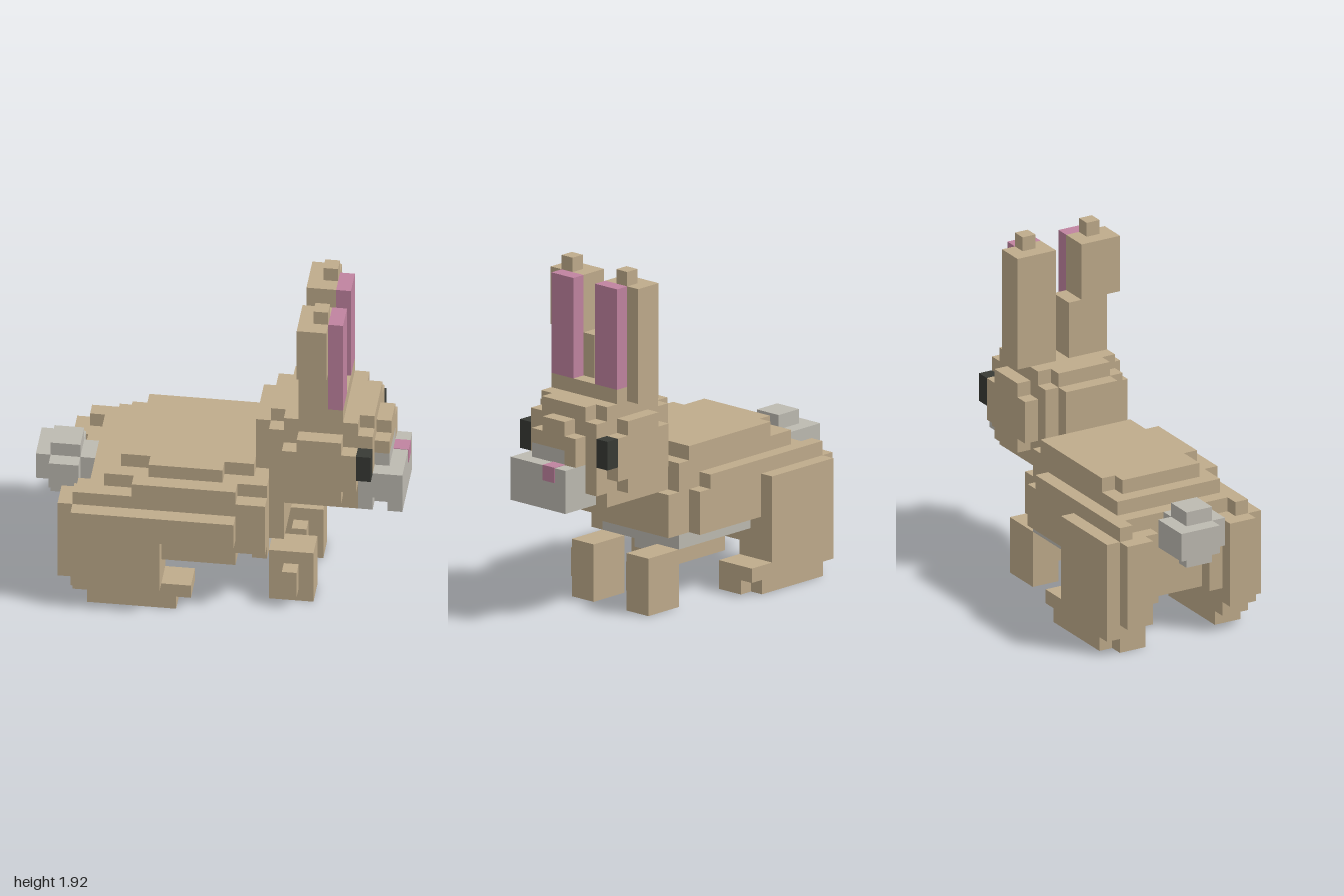
import * as THREE from 'three';

const U = 0.08; // voxel size

export function createModel() {
  const model = new THREE.Group();
  model.name = 'rabbit';

  const material = (name, color) => {
    const m = new THREE.MeshStandardMaterial({ color });
    m.name = name;
    return m;
  };
  const fur = material('tan fur', 0xbfab8b);
  const pale = material('pale grey fur', 0xbdbab1);
  const pink = material('pink skin', 0xc083a0);
  const dark = material('dark eye', 0x383a35);

  // Each block is [x0, x1, y0, y1, z0, z1] in voxels; grow swells it slightly.
  function part(name, mat, blocks, grow = 0) {
    const group = new THREE.Group();
    group.name = name;
    for (const [x0, x1, y0, y1, z0, z1] of blocks) {
      const mesh = new THREE.Mesh(new THREE.BoxGeometry(
        (x1 - x0) * U + grow, (y1 - y0) * U + grow, (z1 - z0) * U + grow), mat);
      mesh.position.set((x0 + x1) * U / 2 - 1, (y0 + y1) * U / 2, (z0 + z1) * U / 2 - 0.48);
      mesh.name = name + 'Block';
      group.add(mesh);
    }
    model.add(group);
  }

  // Torso with stepped back and flanks
  part('torso', fur, [
    [4, 16, 5, 9, 2, 10], [15, 17, 5, 8, 2, 9],
    [3, 14, 4, 9, 10, 11], [14, 16, 5, 9, 10, 11],
    [3, 14, 5, 9, 1, 2], [14, 15, 5, 8, 1, 2],
    [3, 14, 6, 8, 11, 12],
  ]);
  part('back', fur, [
    [5, 16, 9, 10, 2, 10], [7, 14, 9, 10, 10, 11],
    [6, 15, 10, 11, 3, 9], [7, 15, 10, 11, 2, 3], [8, 13, 10, 11, 9, 10],
  ]);
  part('rump', fur, [
    [4, 9, 3, 9, 3, 9], [3, 5, 3, 8, 3, 4], [3, 5, 3, 8, 8, 9],
  ]);

  // Underside
  part('belly', fur, [
    [10, 14, 3, 4, 4, 7], [10, 13, 2, 3, 5, 7],
    [9, 14, 4, 5, 9, 10], [15, 16, 4, 5, 9, 10],
  ]);
  part('paleBelly', pale, [[9, 16, 4, 5, 2, 9], [14, 15, 3, 4, 4, 7]]);

  // Hind legs
  part('haunchNear', fur, [[2, 9, 2, 8, 9, 11], [3, 9, 2, 6, 11, 12]]);
  part('haunchFar', fur, [[2, 9, 2, 8, 1, 3], [3, 9, 2, 8, 0, 1]]);
  part('hindFootNear', fur, [[3, 11, 1, 2, 9, 11], [4, 10, 0, 1, 9, 11]]);
  part('hindFootFar', fur, [[3, 11, 0, 2, 1, 3], [3, 11, 1, 2, 0, 1], [4, 10, 0, 1, 0, 1]]);

  // Front paws, set apart from the body
  for (const [name, z] of [['frontPawNear', 7], ['frontPawFar', 2]]) {
    part(name, fur, [[16, 19, 0, 4, z, z + 2], [17, 18, 1, 3, z + 2, z + 3]]);
  }

  // Tail
  part('tail', pale, [
    [1, 3, 7, 9, 4, 8], [3, 4, 7, 9, 5, 7], [0, 1, 7, 9, 4, 7],
    [1, 3, 9, 10, 5, 7], [1, 2, 6, 7, 5, 7],
  ]);

  // Neck and head
  part('neck', fur, [[15, 17, 8, 10, 3, 9]]);
  part('head', fur, [
    [16, 22, 9, 14, 3, 9], [22, 23, 11, 14, 3, 9], [22, 23, 9, 11, 3, 4],
    [15, 16, 10, 14, 4, 8], [16, 23, 14, 15, 4, 8], [17, 22, 14, 15, 3, 9],
    [17, 22, 8, 9, 3, 9],
    [23, 24, 12, 13, 4, 8], [23, 24, 13, 14, 5, 7], [23, 24, 11, 12, 4, 5],
  ]);
  for (const z of [2, 9]) {
    part('cheek', fur, [[17, 22, 10, 13, z, z + 1], [18, 21, 9, 14, z, z + 1]]);
    part('eye', dark, [[22, 23, 11, 13, z, z + 1]]);
  }
  part('snout', pale, [
    [22, 25, 8, 11, 4, 8], [22, 23, 8, 11, 8, 9], [23, 25, 9, 11, 8, 9],
    [24, 25, 8, 9, 8, 9], [23, 24, 11, 12, 5, 8],
  ]);
  part('nose', pink, [[24, 25, 10, 11, 5, 6]], 0.006);

  // Ears
  part('earBase', fur, [[20, 21, 15, 16, 3, 9]]);
  part('earNear', fur, [[18, 20, 15, 19, 6, 9], [18, 20, 19, 23, 7, 10], [19, 20, 23, 24, 8, 9]]);
  part('earFar', fur, [[18, 20, 15, 23, 2, 5], [19, 20, 23, 24, 3, 4]]);
  part('innerEars', pink, [[20, 21, 16, 23, 7, 9], [20, 21, 16, 23, 3, 5]]);

  return model;
}
